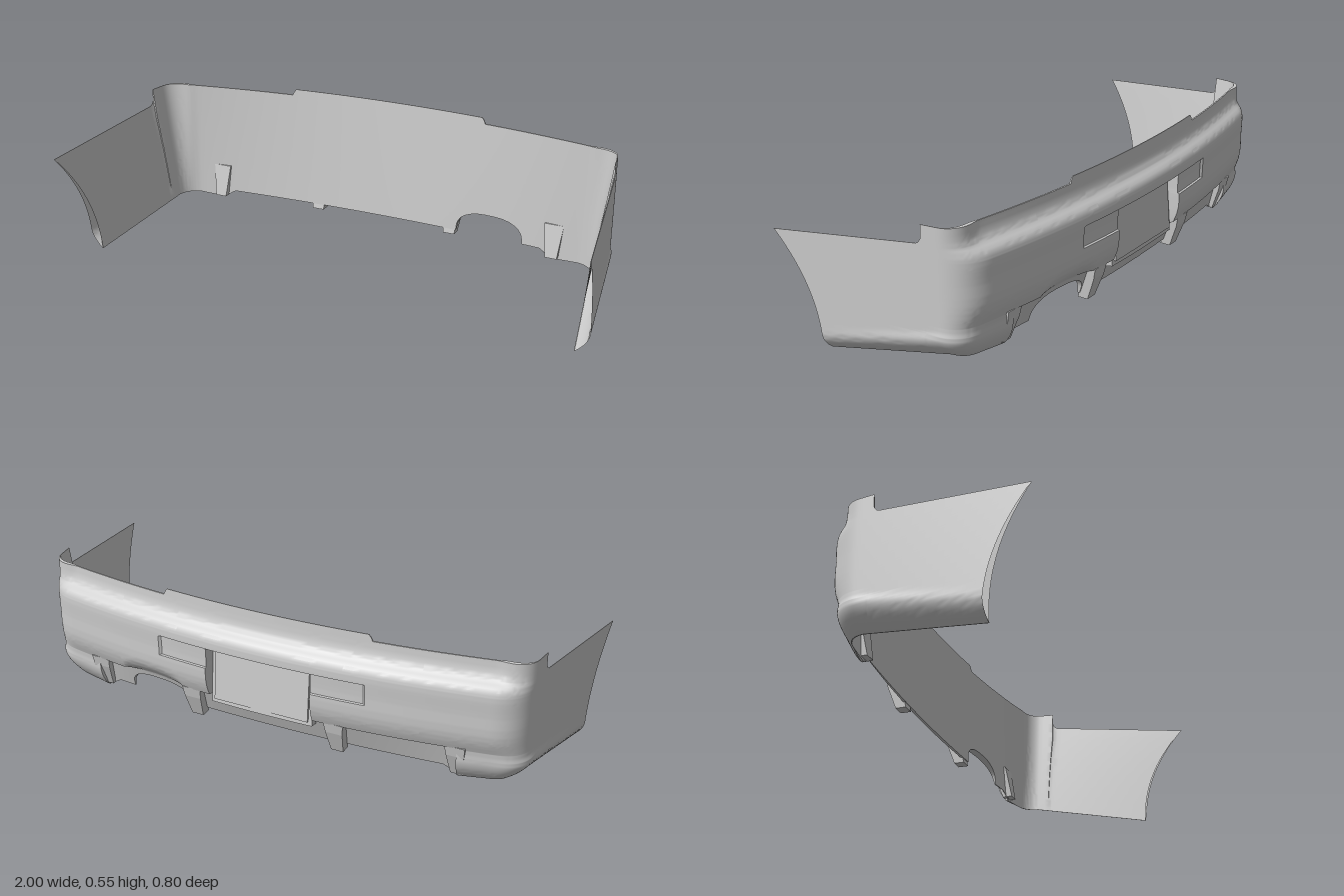
import * as THREE from 'three';
import { toCreasedNormals } from 'three/addons/utils/BufferGeometryUtils.js';

const { lerp, clamp, smoothstep } = THREE.MathUtils;
const material = new THREE.MeshStandardMaterial({ color: 0xcccccc, side: THREE.DoubleSide });

// Plan curve of the rear face, and the vertical profile as [height, inset]
const rearZ = (x) => -0.4 + 0.12 * x * x;
const PROFILE = [[0.19, 0.028], [0.2, 0.024], [0.215, 0.018], [0.235, 0.011], [0.26, 0.006], [0.29, 0.004],
  [0.34, 0.005], [0.39, 0.003], [0.415, 0.004], [0.43, 0.008], [0.44, 0.015], [0.448, 0.026], [0.456, 0.037],
  [0.465, 0.045], [0.48, 0.051], [0.5, 0.055], [0.545, 0.058]];
function profile(y) {
  if (y <= PROFILE[0][0]) return PROFILE[0][1];
  for (let i = 1; i < PROFILE.length; i++) {
    const [y0, d0] = PROFILE[i - 1], [y1, d1] = PROFILE[i];
    if (y <= y1) return lerp(d0, d1, (y - y0) / (y1 - y0));
  }
  return PROFILE[PROFILE.length - 1][1];
}

// Upright stations along one half: rear, rounded corner, side wing
function halfStations() {
  const list = [];
  const xs = [0.196, 0.204, 0.265, 0.31, 0.313, 0.318, 0.33, 0.34, 0.386, 0.394, 0.404, 0.56, 0.572,
    0.577, 0.58, 0.65, 0.696, 0.704];
  for (let i = 0; i <= 32; i++) xs.push(i * 0.025);
  [...new Set(xs)].sort((a, b) => a - b).forEach((x) => list.push({ kind: 'rear', x }));
  for (let i = 1; i <= 16; i++) list.push({ kind: 'corner', t: i / 16 });
  [0.03, 0.06, 0.094, 0.096, 0.1, 0.11, 0.125, 0.16].forEach((t) => list.push({ kind: 'side', t }));
  for (let i = 1; i <= 14; i++) list.push({ kind: 'side', t: 0.16 + 0.84 * i / 14 });
  return list;
}
const half = halfStations();
const STATIONS = [...half.slice(1).reverse().map((s) => ({ ...s, sign: -1 })),
  ...half.map((s) => ({ ...s, sign: 1 }))];

const ROWS = [0.163, 0.167, 0.193, 0.197, 0.308, 0.312, 0.383, 0.387, ...PROFILE.map((p) => p[0])];
for (let i = 0; i <= 54; i++) ROWS.push(i * 0.01);
ROWS.sort((a, b) => a - b);

// Lower and upper edge of the skin at a station
function bottom(s) {
  if (s.kind === 'side') return 0.072 * (1 - s.t);
  if (s.kind === 'corner') return 0.072;
  if (s.x > 0.65) return s.x < 0.7 ? lerp(0.095, 0.066, (s.x - 0.65) / 0.05) : lerp(0.066, 0.072, (s.x - 0.7) / 0.1);
  const k = Math.abs(s.x * s.sign - 0.445) / 0.135; // exhaust cut-out
  return k < 1 ? 0.095 + 0.082 * Math.pow(1 - k ** 2.6, 1 / 2.6) : 0.095;
}
function top(s) {
  if (s.kind === 'rear') return s.x < 0.39 ? 0.545 : s.x < 0.4 ? 0.535 : 0.522;
  if (s.kind === 'corner' || s.t < 0.095) return 0.522;
  if (s.t < 0.125) return 0.458 + 0.02 * ((0.125 - s.t) / 0.03) ** 2;
  return lerp(0.458, 0.405, (s.t - 0.125) / 0.875);
}

// Point and outward normal on the plan curve
function plan(s, y) {
  let x, z, tx, tz;
  if (s.kind === 'rear') {
    [x, z, tx, tz] = [s.x, rearZ(s.x), 1, 0.24 * s.x];
  } else if (s.kind === 'corner') {
    const t = s.t, a = [0.8, rearZ(0.8)], b = [0.9, -0.304], c = [0.915, -0.2];
    const q = (i) => (1 - t) ** 2 * a[i] + 2 * t * (1 - t) * b[i] + t * t * c[i];
    const d = (i) => (1 - t) * (b[i] - a[i]) + t * (c[i] - b[i]);
    [x, z, tx, tz] = [q(0), q(1), d(0), d(1)];
  } else {
    // the wing ends on the curved wheel arch
    const end = 0.239 + 0.161 * Math.pow(clamp(y / 0.405, 0, 1), 2.2);
    z = lerp(-0.2, end, s.t);
    [x, tx, tz] = [0.915 + 0.14 * (z + 0.2), 0.14, 1];
  }
  const len = Math.hypot(tx, tz);
  return { x, z, nx: tz / len, nz: -tx / len };
}

const rearWeight = (s) => (s.kind === 'rear' ? 1 : s.kind === 'side' ? 0 : 1 - smoothstep(s.t, 0, 1));

// Inset of the outer skin, with plate recess, lamp slots, valance and tucked lower edge
function outerInset(s, y) {
  const w = rearWeight(s);
  if (s.kind === 'rear') {
    if (s.x < 0.2 && y > 0.165 && y < 0.385) return lerp(0.035, 0.055, (y - 0.165) / 0.22);
    if (s.x < 0.39 && y > 0.31 && y < 0.385) return profile(y) + 0.007;
    if (s.x < 0.7 && y < 0.195) return 0.05 + (0.42 - 0.35 * s.x * s.x) * (0.195 - y);
  }
  const t = s.kind === 'side' ? s.t : 0;
  const h = 0.09 - 0.02 * t, d = y - bottom(s);
  const tuck = d < h ? (0.062 - 0.014 * t - 0.022 * w) * Math.pow(1 - d / h, 2) : 0;
  // soft swage line fading out along the wing
  const swage = 0.006 * (1 - w) * (1 - t) * (1 - smoothstep(d, h - 0.01, h + 0.02)) * smoothstep(d, 0, h - 0.01);
  return w * profile(y) + tuck - swage;
}

// Inset of the plain inner skin: a straight line from lower to upper edge
function innerInset(s, y) {
  const lo = bottom(s), hi = top(s), x = s.kind === 'rear' ? s.x : 0.8;
  const wing = lerp(outerInset(s, lo), outerInset(s, hi), (y - lo) / (hi - lo)) + 0.002;
  const rear = lerp(0.061, 0.103 - 0.055 * x * x, (0.545 - y) / 0.45);
  return lerp(wing, rear, rearWeight(s));
}

function point(s, row, insetAt) {
  const y = clamp(row, bottom(s), top(s));
  const p = plan(s, y), d = insetAt(s, y);
  return [s.sign * (p.x - p.nx * d), y, p.z - p.nz * d];
}

// Grid surface through fn(i, j), dropping collapsed triangles
function sheet(name, cols, rows, fn, flip = false) {
  const pos = [], index = [], v = [];
  for (let i = 0; i < cols; i++) for (let j = 0; j < rows; j++) {
    const p = fn(i, j);
    pos.push(...p);
    v.push(new THREE.Vector3(...p));
  }
  const tri = (a, b, c) => {
    if (new THREE.Triangle(v[a], v[b], v[c]).getArea() > 1e-9) index.push(...(flip ? [a, c, b] : [a, b, c]));
  };
  for (let i = 0; i < cols - 1; i++) for (let j = 0; j < rows - 1; j++) {
    const a = i * rows + j, b = a + rows;
    tri(a, a + 1, b);
    tri(b, a + 1, b + 1);
  }
  const geo = new THREE.BufferGeometry();
  geo.setAttribute('position', new THREE.Float32BufferAttribute(pos, 3));
  geo.setIndex(index);
  const mesh = new THREE.Mesh(toCreasedNormals(geo, 0.6), material);
  mesh.name = name;
  return mesh;
}

export function createModel() {
  const group = new THREE.Group();
  group.name = 'rearBumper';
  const n = STATIONS.length, m = ROWS.length;
  const skins = [outerInset, innerInset];

  // Outer and inner skins
  group.add(sheet('outerSkin', n, m, (i, j) => point(STATIONS[i], ROWS[j], outerInset)));
  group.add(sheet('innerSkin', n, m, (i, j) => point(STATIONS[i], ROWS[j], innerInset), true));

  // Edges joining the skins
  group.add(sheet('topEdge', n, 2, (i, j) => point(STATIONS[i], 1, skins[j])));
  group.add(sheet('bottomEdge', n, 2, (i, j) => point(STATIONS[i], -1, skins[j]), true));

  // Wedge fins dividing the valance, wider towards the top
  const wedge = new THREE.Shape([[-0.368, 0.2], [-0.36, 0.16], [-0.33, 0.076], [-0.292, 0.076], [-0.315, 0.2]]
    .map(([z, y]) => new THREE.Vector2(z, y)));
  const finGeo = new THREE.ExtrudeGeometry(wedge, { depth: 0.045, bevelEnabled: false });
  finGeo.rotateY(-Math.PI / 2).translate(0.0225, 0, 0);
  const p = finGeo.attributes.position;
  for (let i = 0; i < p.count; i++) p.setX(i, p.getX(i) * lerp(1, 1.6, (p.getY(i) - 0.076) / 0.124));
  finGeo.computeVertexNormals();
  [-0.69, -0.275, 0.275, 0.69].forEach((x) => {
    const fin = new THREE.Mesh(finGeo, material);
    fin.name = 'valanceFin';
    fin.position.set(x, 0, rearZ(x) + 0.392);
    group.add(fin);
  });

  // Plate panel in the recess
  const plate = new THREE.Mesh(new THREE.BoxGeometry(0.36, 0.18, 0.008), material);
  plate.name = 'platePanel';
  plate.position.set(0, 0.272, -0.355);
  plate.rotation.x = 0.09;
  group.add(plate);

  return group;
}
